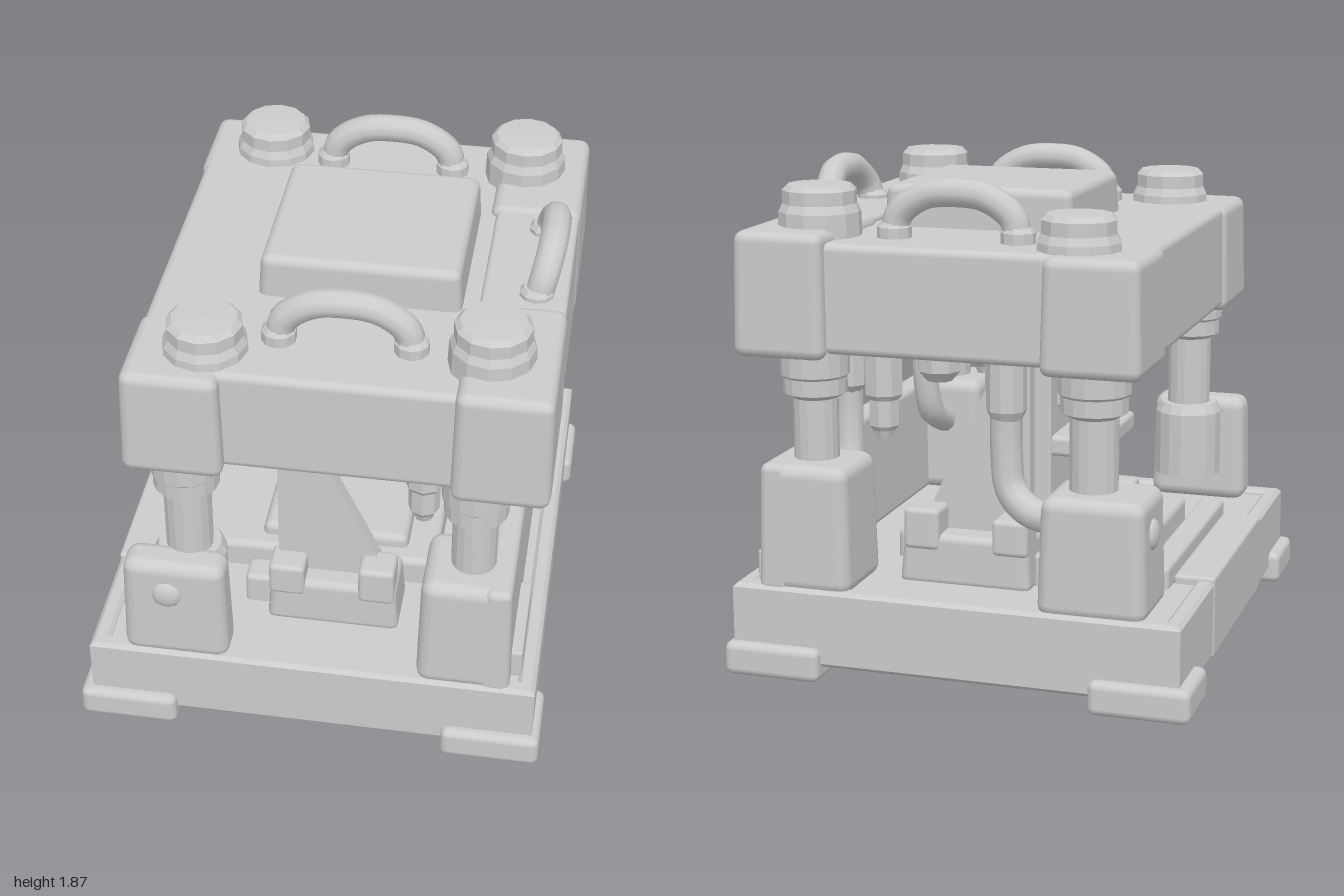
import * as THREE from 'three';
import { RoundedBoxGeometry } from 'three/addons/geometries/RoundedBoxGeometry.js';

const mat = new THREE.MeshStandardMaterial({ color: 0xcccccc });
const flat = new THREE.MeshStandardMaterial({ color: 0xcccccc, flatShading: true });
const points = list => list.map(p => new THREE.Vector2(...p));

export function createModel() {
  const model = new THREE.Group();

  function add(name, geo, x = 0, y = 0, z = 0, m = mat) {
    const mesh = new THREE.Mesh(geo, m);
    mesh.name = name;
    mesh.position.set(x, y, z);
    model.add(mesh);
    return mesh;
  }
  // Rounded block given by its extents; the top may be narrowed
  function block(name, [x0, x1], [y0, y1], [z0, z1], r = 0.03, taper = 0) {
    const h = y1 - y0;
    const geo = new RoundedBoxGeometry(x1 - x0, h, z1 - z0, 2, r);
    const p = geo.attributes.position;
    for (let i = 0; i < p.count; i++) {
      const k = taper * (p.getY(i) / h + 0.5);
      p.setX(i, p.getX(i) - Math.sign(p.getX(i)) * k);
      p.setZ(i, p.getZ(i) - Math.sign(p.getZ(i)) * k);
    }
    return add(name, geo, (x0 + x1) / 2, (y0 + y1) / 2, (z0 + z1) / 2);
  }
  // Block mirrored between front and back
  function pair(name, xs, ys, [z0, z1], r, taper) {
    block(name, xs, ys, [z0, z1], r, taper);
    block(name, xs, ys, [-z1, -z0], r, taper);
  }
  // Turned part from [radius, height] pairs
  function turned(name, pts, x, z, sides = 12) {
    add(name, new THREE.LatheGeometry(points(pts), sides), x, 0, z, flat);
  }
  function tube(name, pts, r) {
    const curve = new THREE.CatmullRomCurve3(pts.map(p => new THREE.Vector3(...p)));
    add(name, new THREE.TubeGeometry(curve, 24, r, 10));
  }

  // Base: feet and a hollow rim closed above by the deck
  for (const x of [[-0.9, -0.52], [0.52, 0.9]]) pair('foot', x, [0, 0.13], [0.7, 1], 0.03);
  const rim = new THREE.Shape(points([[-0.84, -0.945], [0.855, -0.945], [0.855, 0.945], [-0.84, 0.945]]));
  rim.holes.push(new THREE.Path(points([[-0.8, -0.905], [-0.8, 0.905], [0.815, 0.905], [0.815, -0.905]])));
  const rimGeo = new THREE.ExtrudeGeometry(rim, {
    depth: 0.27, bevelSize: 0.015, bevelThickness: 0.015, bevelSegments: 1,
  });
  rimGeo.rotateX(-Math.PI / 2);
  add('baseRim', rimGeo, 0, 0.07, 0);
  block('deck', [-0.83, 0.845], [0.29, 0.335], [-0.935, 0.935], 0.01);
  block('sideBox', [-0.86, -0.7], [0.05, 0.37], [-0.42, 0.46], 0.015);
  block('sideRail', [-0.7, -0.6], [0.3, 0.42], [-0.5, 0.5], 0.02);

  // Corner pedestals: the front right one is a panel with a round column socket
  block('rightBackPedestal', [-0.72, -0.31], [0.33, 0.78], [-0.95, -0.59], 0.05, 0.012);
  block('rightFrontPanel', [-0.72, -0.31], [0.33, 0.78], [0.78, 0.95], 0.05, 0.01);
  turned('columnSocket', [[0, 0.46], [0.14, 0.46], [0.14, 0.73], [0.12, 0.77], [0, 0.77]], -0.48, 0.76, 16);
  pair('leftPedestal', [0.41, 0.77], [0.33, 0.82], [0.59, 0.95], 0.05, 0.012);
  block('sideWall', [0.65, 0.77], [0.33, 0.82], [-0.95, 0.95], 0.03, 0.01);
  pair('wallPad', [0.7, 0.81], [0.34, 0.46], [0.46, 0.86], 0.01);
  const button = new THREE.SphereGeometry(0.06, 12, 8);
  add('frontButton', button, -0.54, 0.64, 0.935).scale.z = 0.5;
  add('sideButton', button, -0.705, 0.64, -0.8).scale.x = 0.5;

  // Columns with collars, and the caps above the head
  for (const s of [1, -1]) {
    for (const [x, r] of [[-0.48, 0.09], [0.6, 0.085]])
      turned('column', [[r, 0.72], [r, 1.05], [r + 0.035, 1.07], [r + 0.035, 1.13],
        [r + 0.045, 1.14], [r + 0.045, 1.24]], x, s * 0.76, 16);
    for (const [x, z, top] of [[-0.4, 0.69, 1.77], [0.62, 0.635, 1.83]])
      turned('headCap', [[0.16, 1.6], [0.155, top - 0.1], [0.14, top - 0.07], [0.14, top - 0.02],
        [0.12, top], [0, top + 0.005]], x, s * z);
  }

  // Head: body, corner clamps, side band and top cover
  block('headBody', [-0.67, 0.83], [1.23, 1.64], [-0.86, 0.86], 0.03, 0.01);
  pair('rightCorner', [-0.685, -0.31], [1.21, 1.64], [0.5, 0.92], 0.04, 0.01);
  pair('leftCorner', [0.51, 0.87], [1.21, 1.68], [0.3, 0.91], 0.04, 0.008);
  block('headLeftBand', [0.53, 0.865], [1.22, 1.665], [-0.4, 0.4], 0.02, 0.008);
  block('topCover', [-0.28, 0.48], [1.6, 1.8], [-0.36, 0.35], 0.035, 0.012);

  // Carrying handles with end sockets
  function handle(place) {
    const pts = [[-0.24, 1.64], [-0.22, 1.73], [-0.12, 1.8], [0, 1.815], [0.12, 1.8], [0.22, 1.73], [0.24, 1.64]];
    tube('handle', pts.map(([t, y]) => place(t, y)), 0.054);
    for (const t of [-0.24, 0.24]) {
      const [x, , z] = place(t, 1.64);
      turned('handleSocket', [[0.065, 1.62], [0.065, 1.68], [0.05, 1.7], [0, 1.7]], x, z, 10);
    }
  }
  handle((t, y) => [0.09 + t, y, 0.6]);
  handle((t, y) => [0.09 + t, y, -0.62]);
  handle((t, y) => [0.74 + (y - 1.64) * 0.25, y, t * 0.9]);

  // Work bed, and the clamped footings of the gussets
  block('bedPlate', [-0.56, 0.42], [0.3, 0.45], [-0.4, 0.4], 0.03);
  block('bed', [-0.3, 0.31], [0.36, 0.5], [-0.34, 0.34], 0.03, 0.015);
  pair('gussetFooting', [-0.21, 0.31], [0.32, 0.52], [0.42, 0.68], 0.03, 0.015);
  pair('footingClamp', [-0.2, -0.06], [0.46, 0.6], [0.54, 0.68], 0.02);
  pair('footingClamp', [0.15, 0.29], [0.46, 0.62], [0.54, 0.68], 0.02);
  pair('floorStop', [-0.31, -0.2], [0.32, 0.46], [0.48, 0.6], 0.02);

  // Central post with a drive box, and the triangular gussets to front and back
  block('centralPost', [-0.17, -0.03], [0.45, 1.24], [-0.27, 0.3], 0.01);
  const gusset = new THREE.Shape(points([[-0.175, 0.48], [0.23, 0.48], [0.22, 0.6], [-0.08, 1.24], [-0.175, 1.24]]));
  for (const z of [-0.56, 0.52])
    add('gusset', new THREE.ExtrudeGeometry(gusset, { depth: 0.06, bevelEnabled: false }), 0, 0, z);
  block('driveBox', [-0.35, 0.13], [0.93, 1.175], [-0.18, 0.2], 0.01);
  block('driveShelf', [-0.37, 0.12], [0.75, 0.83], [-0.26, 0.26], 0.02);
  turned('headPlug', [[0, 1.07], [0.05, 1.07], [0.085, 1.11], [0.085, 1.25]], 0.22, -0.45, 8);

  // Nozzles and hoses under the head
  for (const s of [1, -1]) {
    turned('nozzle', [[0, 0.87], [0.035, 0.87], [0.045, 0.9], [0.06, 0.92], [0.06, 1.02], [0.075, 1.04],
      [0.075, 1.25]], 0.39, s * 0.6, 8);
    turned('hoseFitting', [[0.05, 1], [0.075, 1.03], [0.075, 1.25]], 0.6, s * 0.43, 10);
    tube('hose', [[0.6, 1.1, s * 0.43], [0.6, 0.88, s * 0.43], [0.59, 0.72, s * 0.47], [0.58, 0.64, s * 0.62]], 0.055);
  }
  turned('hoseFitting', [[0.055, 0.98], [0.075, 1.02], [0.075, 1.25]], -0.11, -0.64, 10);
  tube('hose', [[-0.11, 1.1, -0.64], [-0.11, 0.85, -0.64], [-0.13, 0.72, -0.65], [-0.21, 0.65, -0.68],
    [-0.36, 0.63, -0.72]], 0.06);

  return model;
}
